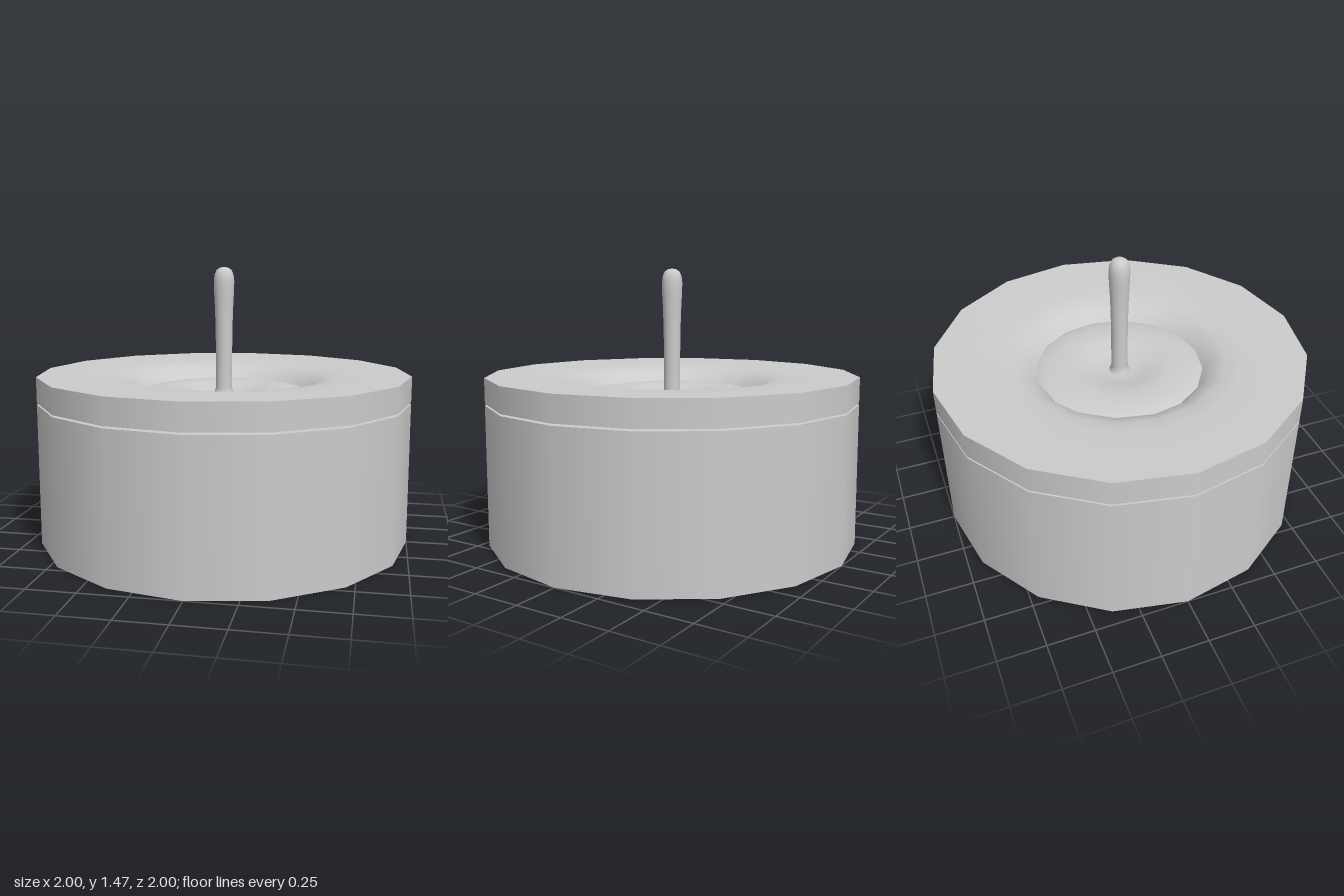
import * as THREE from 'three';
import { mergeGeometries } from 'three/addons/utils/BufferGeometryUtils.js';

const material = new THREE.MeshStandardMaterial({ color: 0xcccccc });

// Each profile is a smooth run of [radius, height]; edges between runs stay sharp.
function turned(name, sides, ...profiles) {
  const parts = profiles.map((profile) =>
    new THREE.LatheGeometry(profile.map(([r, y]) => new THREE.Vector2(r, y)), sides));
  const mesh = new THREE.Mesh(mergeGeometries(parts), material);
  mesh.name = name;
  return mesh;
}

export function createModel() {
  const group = new THREE.Group();
  group.name = 'candle';

  // Closed drum: base, wall, top
  group.add(turned('body', 16,
    [[0, 0], [1, 0]],
    [[1, 0], [1, 0.755]],
    [[1, 0.755], [0, 0.755]]));

  // Upper slab, split from the body by a thin gap, with a softly sunken top
  group.add(turned('rim', 16,
    [[0, 0.765], [1, 0.765]],
    [[1, 0.765], [1, 0.9]],
    [[1, 0.9], [0.8, 0.896], [0.66, 0.89], [0.57, 0.88], [0.5, 0.853], [0.45, 0.8]]));

  // Melted pool: low swell that dips around the wick
  group.add(turned('pool', 16,
    [[0.45, 0.8], [0.42, 0.812], [0.36, 0.822], [0.28, 0.825], [0.21, 0.818],
      [0.14, 0.795], [0.08, 0.786], [0, 0.785]]));

  // Wick: flared foot, slender stem, rounded tip
  group.add(turned('wick', 24,
    [[0.056, 0.784], [0.05, 0.797], [0.044, 0.82], [0.044, 1.0], [0.046, 1.15],
      [0.05, 1.27], [0.054, 1.34], [0.055, 1.39], [0.051, 1.425], [0.04, 1.45],
      [0.022, 1.462], [0, 1.466]]));

  return group;
}
